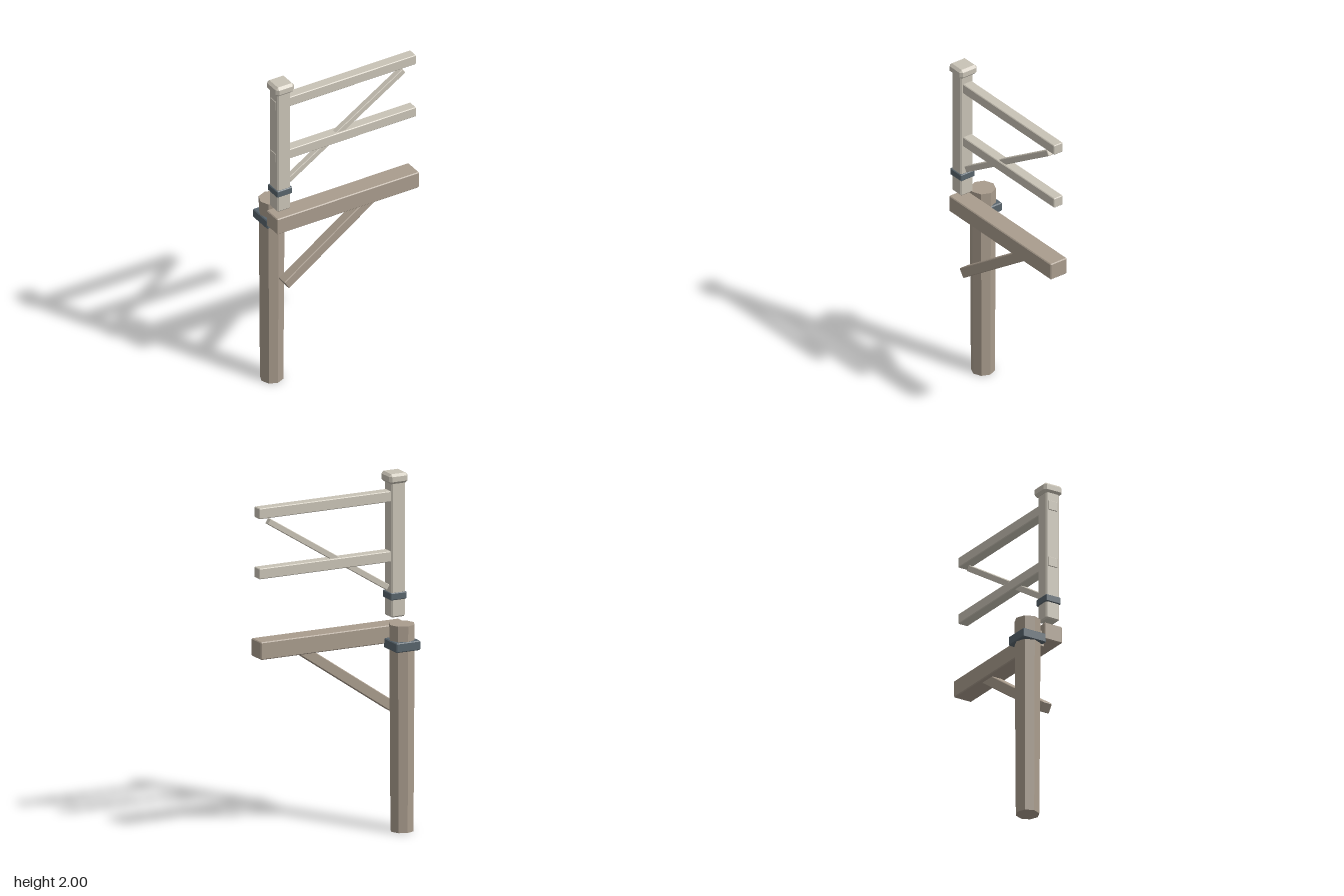
import * as THREE from 'three';
import { ConvexGeometry } from 'three/addons/geometries/ConvexGeometry.js';

// Box with flat chamfers on every edge
function chamferBox(w, h, d, c) {
  const points = [];
  for (const sx of [-1, 1]) for (const sy of [-1, 1]) for (const sz of [-1, 1]) {
    const x = w / 2, y = h / 2, z = d / 2;
    points.push(
      new THREE.Vector3(sx * x, sy * (y - c), sz * (z - c)),
      new THREE.Vector3(sx * (x - c), sy * y, sz * (z - c)),
      new THREE.Vector3(sx * (x - c), sy * (y - c), sz * z)
    );
  }
  return new ConvexGeometry(points);
}

export function createModel() {
  const group = new THREE.Group();
  const material = (name, color) => {
    const m = new THREE.MeshStandardMaterial({ color, flatShading: true });
    m.name = name;
    return m;
  };
  const paleWood = material('pale wood', 0xc9c3b6);
  const brownWood = material('brown wood', 0xa99c8d);
  const iron = material('dark iron', 0x58646c);

  const add = (name, geometry, mat, x, y, z) => {
    const mesh = new THREE.Mesh(geometry, mat);
    mesh.name = name;
    mesh.position.set(x, y, z);
    group.add(mesh);
    return mesh;
  };
  // Box given by its limits in x and y, and its centre and depth in z
  const block = (name, mat, [x0, x1], [y0, y1], z, d, c) =>
    add(name, chamferBox(x1 - x0, y1 - y0, d, c), mat, (x0 + x1) / 2, (y0 + y1) / 2, z);
  // Slanted square timber between two points in the x-y plane
  const brace = (name, mat, [x0, y0], [x1, y1], z, h, d, c) => {
    const length = Math.hypot(x1 - x0, y1 - y0);
    const mesh = add(name, chamferBox(length, h, d, c), mat, (x0 + x1) / 2, (y0 + y1) / 2, z);
    mesh.rotation.z = Math.atan2(y1 - y0, x1 - x0);
  };

  const railZ = 0.068;

  // Eight-sided pile with its iron band
  add('pile', new THREE.CylinderGeometry(0.073, 0.066, 1.17, 8), brownWood, -0.383, 0.585, -0.054);
  block('pileBand', iron, [-0.458, -0.308], [1.028, 1.082], -0.056, 0.15, 0.005);

  // Main beam, the packing block joining it to the pile, and its brace
  block('beam', brownWood, [-0.457, 0.457], [1.05, 1.15], railZ, 0.114, 0.005);
  block('packingBlock', brownWood, [-0.428, -0.346], [1.014, 1.11], 0.0, 0.05, 0.004);
  brace('beamBrace', brownWood, [-0.38, 0.678], [0.213, 1.085], railZ, 0.058, 0.062, 0.004);

  // Railing post with cap and collar
  block('post', paleWood, [-0.448, -0.362], [1.185, 1.97], 0.07, 0.086, 0.008);
  block('postCap', paleWood, [-0.46, -0.344], [1.943, 2.0], railZ, 0.118, 0.014);
  block('postCollar', iron, [-0.454, -0.355], [1.285, 1.326], 0.07, 0.098, 0.004);

  // Rails, tenoned through the post
  for (const y of [1.53, 1.87]) {
    block('rail', paleWood, [-0.451, 0.453], [y - 0.03, y + 0.03], railZ, 0.062, 0.004);
  }

  // Thin diagonal of the railing
  brace('railBrace', paleWood, [-0.357, 1.352], [0.382, 1.815], 0.071, 0.034, 0.036, 0.003);

  return group;
}
